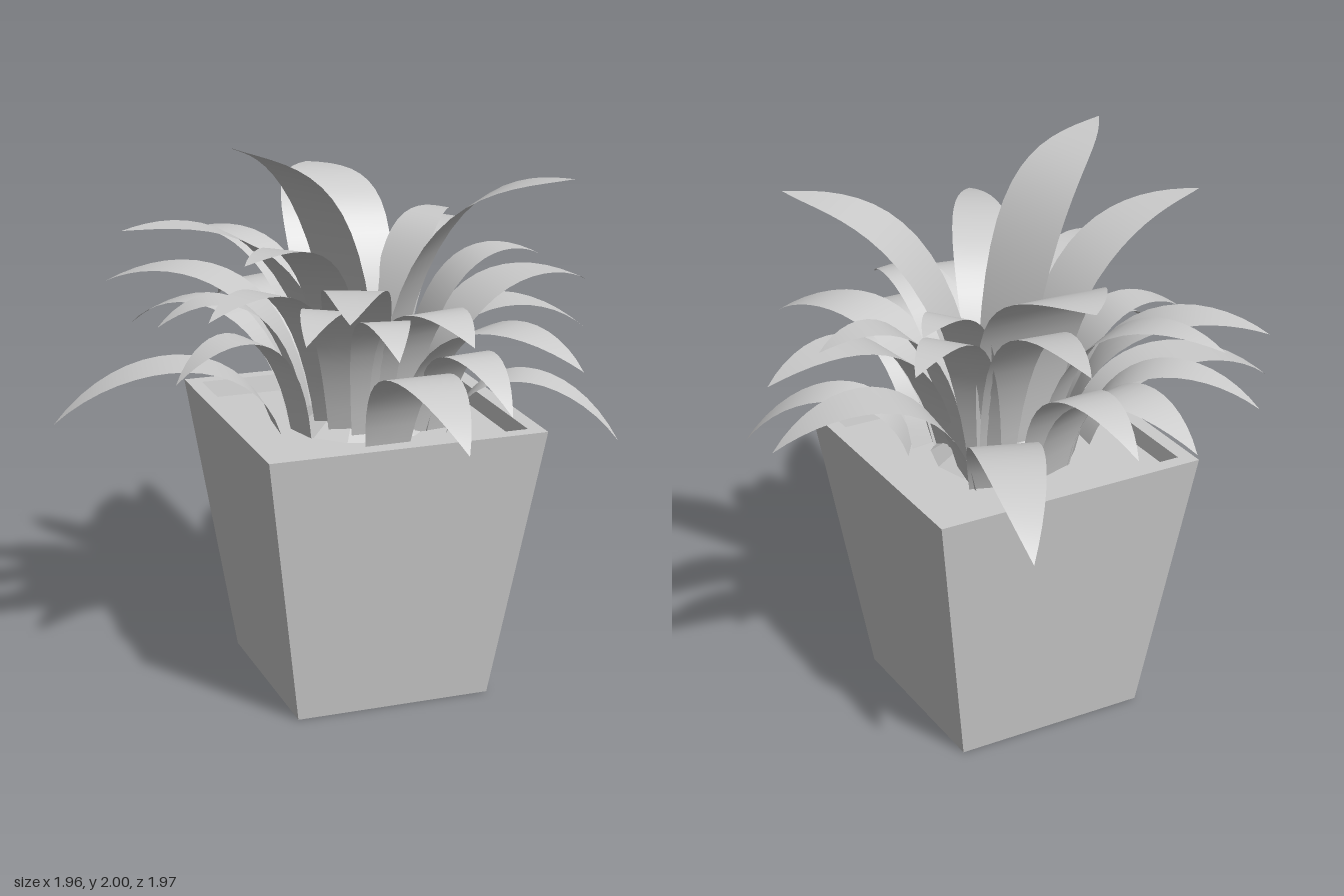
import * as THREE from 'three';

const CX = 0.09, CZ = 0.01; // pot axis
const POT = new THREE.MeshStandardMaterial({ color: 0xcccccc, flatShading: true });
const LEAF = new THREE.MeshStandardMaterial({ color: 0xcccccc, side: THREE.DoubleSide });

// Leaf tips (x, y, z) and, where needed, the turn of the root about the axis in degrees
const WIDEST = [[0.13, 1.73, -0.68]];
const LARGE = [[-0.45, 2.0, 0.27, 44], [0.67, 1.86, 0.48, 20]];
const BROAD = [
  [-0.78, 1.72, 0.12], [0.58, 1.29, 0.78], [-0.69, 1.4, -0.47], [0.95, 1.38, 0.03, -30],
  [0.98, 1.18, -0.05, 30], [0.1, 1.12, 0.98], [-0.98, 1.01, -0.1], [-0.18, 1.22, -0.81],
  [0.53, 1.1, -0.99, -11], [0.22, 1.39, 0.72], [-0.27, 1.56, 0.9],
];
const SLIM = [
  [-0.53, 1.71, 0.66], [0.26, 1.62, -0.87, -25], [0.55, 1.6, -0.31],
  [0.64, 1.53, -0.43], [0.78, 1.48, -0.01], [-0.03, 1.36, 0.7],
  [-0.32, 1.42, 0.63], [-0.59, 1.48, 0.46], [-0.35, 1.5, -0.7], [0.85, 0.94, 0.51],
  [0.36, 1.14, 0.72, 28], [-0.63, 1.2, 0.2], [-0.63, 1.34, -0.02], [-0.57, 1.2, -0.6],
  [0.05, 1.26, -0.82],
];

// Broad in the lower half, then tapering to a point
function widthAt(t) {
  return t < 0.4 ? 0.72 + 0.28 * Math.sin((t / 0.4) * Math.PI / 2)
    : 1 - ((t - 0.4) / 0.6) ** 2;
}

// Arching leaf: the lower its tip, the more it droops and the further out it is rooted
function makeLeaf([x, y, z, turn = 0], width) {
  const mid = 0.57 + 0.62 * y;
  const r = THREE.MathUtils.clamp(0.3 - 0.45 * (mid - 1.2), 0.08, 0.32);
  const a = Math.atan2(z - CZ, x - CX) - THREE.MathUtils.degToRad(turn);
  const base = new THREE.Vector3(CX + r * Math.cos(a), 0.94, CZ + r * Math.sin(a));
  const tip = new THREE.Vector3(x, y, z);
  // control height that makes the arc pass through the halfway height
  const h = (mid - 0.125 * (base.y + tip.y)) / 0.75;
  const bend = (f) => base.clone().lerp(tip, f).setY(h);
  const curve = new THREE.CubicBezierCurve3(base, bend(0.13), bend(0.68), tip);
  const side = new THREE.Vector3(z - base.z, 0, base.x - x).normalize();

  const geo = new THREE.PlaneGeometry(1, 1, 2, 16);
  const pos = geo.attributes.position;
  for (let i = 0; i < pos.count; i++) {
    const t = pos.getY(i) + 0.5;
    const p = curve.getPoint(t).addScaledVector(side, pos.getX(i) * width * widthAt(t));
    pos.setXYZ(i, p.x, p.y, p.z);
  }
  geo.computeVertexNormals();
  const mesh = new THREE.Mesh(geo, LEAF);
  mesh.name = 'leaf';
  return mesh;
}

// Square body turned from a half profile [half side, height]
function squareLathe(profile, name) {
  const pts = profile.map(([s, h]) => new THREE.Vector2(s * Math.SQRT2, h));
  const geo = new THREE.LatheGeometry(pts, 4).rotateY(Math.PI / 4).toNonIndexed();
  geo.computeVertexNormals();
  const mesh = new THREE.Mesh(geo, POT);
  mesh.position.set(CX, 0, CZ);
  mesh.name = name;
  return mesh;
}

export function createModel() {
  const model = new THREE.Group();
  model.name = 'pottedPlant';

  // Tapered square pot with a thin rim, and the soil inside
  model.add(squareLathe([[0, 0], [0.352, 0], [0.497, 1], [0.445, 1], [0.433, 0.92]], 'pot'));
  model.add(squareLathe([[0.438, 0.94], [0, 0.94]], 'soil'));

  // Low mound the leaves grow from
  const mound = new THREE.Mesh(new THREE.CylinderGeometry(0.12, 0.28, 0.1, 12), POT);
  mound.position.set(CX, 0.97, CZ);
  mound.name = 'mound';
  model.add(mound);

  const leaves = new THREE.Group();
  leaves.name = 'leaves';
  for (const [tips, width] of [[WIDEST, 0.38], [LARGE, 0.28], [BROAD, 0.23], [SLIM, 0.18]]) {
    tips.forEach((tip) => leaves.add(makeLeaf(tip, width)));
  }
  model.add(leaves);
  return model;
}
